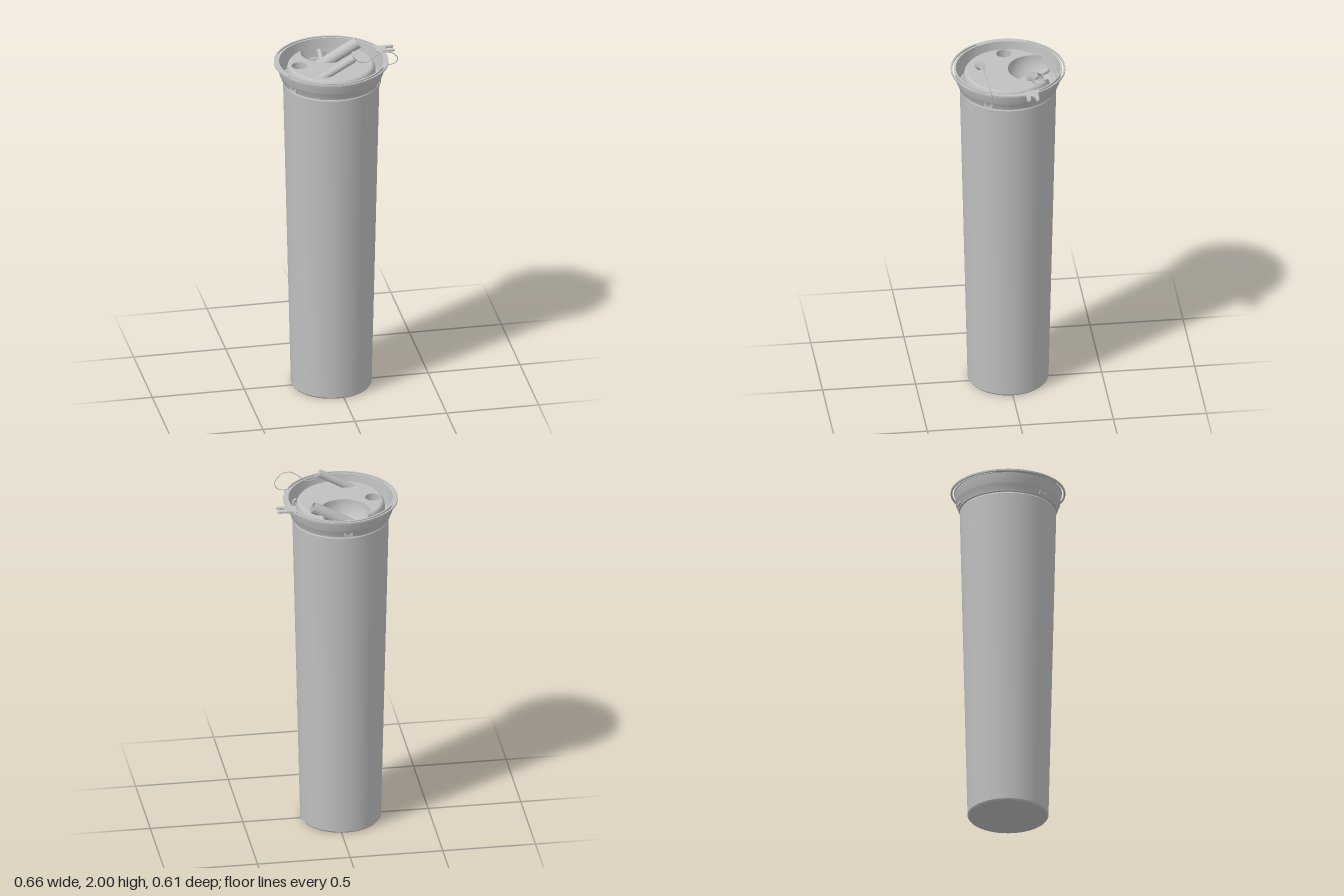
import * as THREE from 'three';
import { toCreasedNormals } from 'three/addons/utils/BufferGeometryUtils.js';

const V = (x, y, z) => new THREE.Vector3(x, y, z);
const DECK = 1.89, DISC_R = 0.237, FLAT_R = 0.217, BOWL_R = 0.137;

export function createModel() {
  const root = new THREE.Group();
  root.name = 'canister';
  const body = new THREE.Group();
  body.name = 'canisterParts';
  body.position.x = -0.027; // the side fork shifts the axis off centre
  root.add(body);

  const grey = new THREE.MeshStandardMaterial({ color: 0xc0c0c0, side: THREE.DoubleSide });
  grey.name = 'grey plastic';

  const add = (name, geo) => {
    const m = new THREE.Mesh(geo, grey);
    m.name = name;
    body.add(m);
    return m;
  };
  const lathe = (name, pts, start = 0, len = Math.PI * 2) =>
    add(name, toCreasedNormals(new THREE.LatheGeometry(
      pts.map(([r, y]) => new THREE.Vector2(r, y)), 48, start, len), 0.5));
  // Flat plate lying in the xz plane; shape y points to the back
  const plate = (name, shape, y, depth) => {
    const g = new THREE.ExtrudeGeometry(shape, { depth, bevelEnabled: false, curveSegments: 48 });
    const m = add(name, toCreasedNormals(g.rotateX(-Math.PI / 2), 0.5));
    m.position.y = y;
    return m;
  };
  // Round rod between two points
  const rod = (name, a, b, r, open = false, r2 = r) => {
    const g = new THREE.CylinderGeometry(r2, r, a.distanceTo(b), 24, 1, open);
    const m = add(name, g);
    m.position.copy(a).add(b).multiplyScalar(0.5);
    m.quaternion.setFromUnitVectors(V(0, 1, 0), b.clone().sub(a).normalize());
    return m;
  };

  // Tapered main tube
  lathe('mainTube', [[0, 0], [0.21, 0], [0.216, 0.008], [0.2575, 1.785], [0.254, 1.791], [0, 1.791]]);

  // Flared collar with its inner groove
  lathe('collar', [[0.25, 1.785], [0.25, 1.8], [0.264, 1.802], [0.276, 1.835], [0.279, 1.84],
    [0.283, 1.895], [0.286, 1.904], [0.278, 1.904], [0.272, 1.84], [0.262, 1.796], [0.23, 1.796]]);

  // Flange ring with two long arc slots
  const ring = new THREE.Shape();
  ring.absarc(0, 0, 0.306, 0, Math.PI * 2, false);
  const bore = new THREE.Path();
  bore.absarc(0, 0, 0.279, 0, Math.PI * 2, true);
  ring.holes.push(bore);
  for (const k of [0, Math.PI]) {
    const slot = new THREE.Path();
    slot.absarc(0, 0, 0.297, k + 0.48, k + Math.PI - 0.48, false);
    slot.absarc(0, 0, 0.287, k + Math.PI - 0.48, k + 0.48, true);
    slot.closePath();
    ring.holes.push(slot);
  }
  plate('flange', ring, 1.895, 0.009);

  // Forked tab at the side of the flange
  const fork = new THREE.Shape();
  fork.moveTo(0.262, 0.06);
  fork.lineTo(0.349, 0.06);
  fork.absarc(0.349, 0.07, 0.01, -Math.PI / 2, Math.PI / 2, false);
  fork.lineTo(0.327, 0.08);
  fork.absarc(0.327, 0.093, 0.013, -Math.PI / 2, Math.PI / 2, true);
  fork.lineTo(0.349, 0.106);
  fork.absarc(0.349, 0.116, 0.01, -Math.PI / 2, Math.PI / 2, false);
  fork.lineTo(0.25, 0.126);
  plate('forkTab', fork, 1.8945, 0.01);

  // Three small latches around the collar
  const latch = new THREE.Shape([[-0.024, -0.017], [0.024, -0.017], [0.024, 0.017], [-0.024, 0.017]]
    .map(([x, y]) => new THREE.Vector2(x, y)));
  const eye = new THREE.Path();
  eye.absarc(0, 0, 0.01, 0, Math.PI * 2, true);
  latch.holes.push(eye);
  const latchGeo = new THREE.ExtrudeGeometry(latch, { depth: 0.012, bevelEnabled: false });
  for (let i = 0; i < 3; i++) {
    const a = Math.PI / 3 + i * Math.PI * 2 / 3;
    const m = add('latch', latchGeo);
    m.position.set(Math.sin(a) * 0.26, 1.82, Math.cos(a) * 0.26);
    m.rotation.y = a;
  }

  // Flat top of the inner lid, cut by the bowl and the vent
  const deck = new THREE.Shape();
  const zi = FLAT_R ** 2 / (2 * BOWL_R), xi = Math.sqrt(FLAT_R ** 2 - zi ** 2);
  const a = Math.atan2(zi, xi), b = Math.atan2(zi - BOWL_R, xi);
  deck.absarc(0, 0, FLAT_R, Math.PI - a, Math.PI * 2 + a, false);
  deck.absarc(0, BOWL_R, BOWL_R, b, Math.PI - b, true);
  const vent = new THREE.Path();
  vent.absarc(-0.174, 0, 0.041, 0, Math.PI * 2, true);
  deck.holes.push(vent);
  add('lidTop', new THREE.ShapeGeometry(deck, 48).rotateX(-Math.PI / 2)).position.y = DECK;

  // Rounded lid edge, open where the bowl runs out
  const edge = [[DISC_R, 1.795]];
  for (let i = 0; i <= 6; i++) {
    const t = i / 6 * Math.PI / 2;
    edge.push([FLAT_R + 0.02 * Math.cos(t), DECK - 0.04 + 0.04 * Math.sin(t)]);
  }
  lathe('lidEdge', edge, Math.PI + 0.58, Math.PI * 2 - 1.16);

  // Vent well
  const well = add('ventWell', new THREE.CylinderGeometry(0.041, 0.041, 0.06, 32, 1, true));
  well.position.set(-0.174, DECK - 0.03, 0);
  const floor = add('ventFloor', new THREE.CircleGeometry(0.041, 32).rotateX(-Math.PI / 2));
  floor.position.set(-0.174, DECK - 0.06, 0);

  // Spherical bowl, clipped by the lid edge
  const pos = [], idx = [], rings = 14, seg = 64;
  for (let i = 0; i <= rings; i++) for (let j = 0; j <= seg; j++) {
    const t = j / seg * Math.PI * 2, c = -BOWL_R * Math.cos(t);
    const reach = -c + Math.sqrt(c * c + DISC_R ** 2 - BOWL_R ** 2);
    const r = Math.min(BOWL_R, reach) * Math.sin(i / rings * Math.PI / 2);
    pos.push(r * Math.sin(t), DECK - Math.sqrt(Math.max(0, BOWL_R ** 2 - r * r)), r * Math.cos(t) - BOWL_R);
    if (i < rings && j < seg) {
      const p = i * (seg + 1) + j, q = p + seg + 1;
      idx.push(p, q, q + 1, p, q + 1, p + 1);
    }
  }
  const bowl = new THREE.BufferGeometry();
  bowl.setAttribute('position', new THREE.Float32BufferAttribute(pos, 3));
  bowl.setIndex(idx);
  bowl.computeVertexNormals();
  add('bowl', bowl);

  // Hollow spout rising out of the bowl
  const foot = V(-0.07, 1.788, -0.141), mouth = V(0.173, 1.928, -0.141);
  rod('spout', foot, mouth, 0.032, true);
  rod('spoutBore', foot, mouth, 0.026, true);
  const lip = add('spoutLip', new THREE.RingGeometry(0.026, 0.032, 24));
  lip.position.copy(mouth);
  lip.quaternion.setFromUnitVectors(V(0, 0, 1), mouth.clone().sub(foot).normalize());
  add('spoutElbow', new THREE.SphereGeometry(0.033, 24, 16)).position.copy(foot);
  rod('spoutFoot', V(-0.073, 1.74, -0.139), foot, 0.03);

  // Small side lever on the spout
  const tip = V(-0.02, 1.86, -0.213);
  rod('lever', V(-0.02, 1.825, -0.15), tip, 0.014);
  add('leverTip', new THREE.SphereGeometry(0.014, 16, 12)).position.copy(tip);

  // Slanted solid plug at the front
  rod('plug', V(-0.11, 1.862, 0.15), V(0.094, 1.98, 0.15), 0.021);

  // Loose wire from the plug to the flange
  const wire = new THREE.CatmullRomCurve3([
    V(0.094, 1.98, 0.147), V(0.125, 1.95, 0.14), V(0.165, 1.945, 0.138), V(0.205, 1.975, 0.143),
    V(0.25, 1.998, 0.149), V(0.3, 1.99, 0.144), V(0.335, 1.95, 0.132), V(0.325, 1.92, 0.124),
    V(0.29, 1.909, 0.121), V(0.264, 1.902, 0.135)]);
  add('wire', new THREE.TubeGeometry(wire, 60, 0.0025, 6));

  return root;
}
